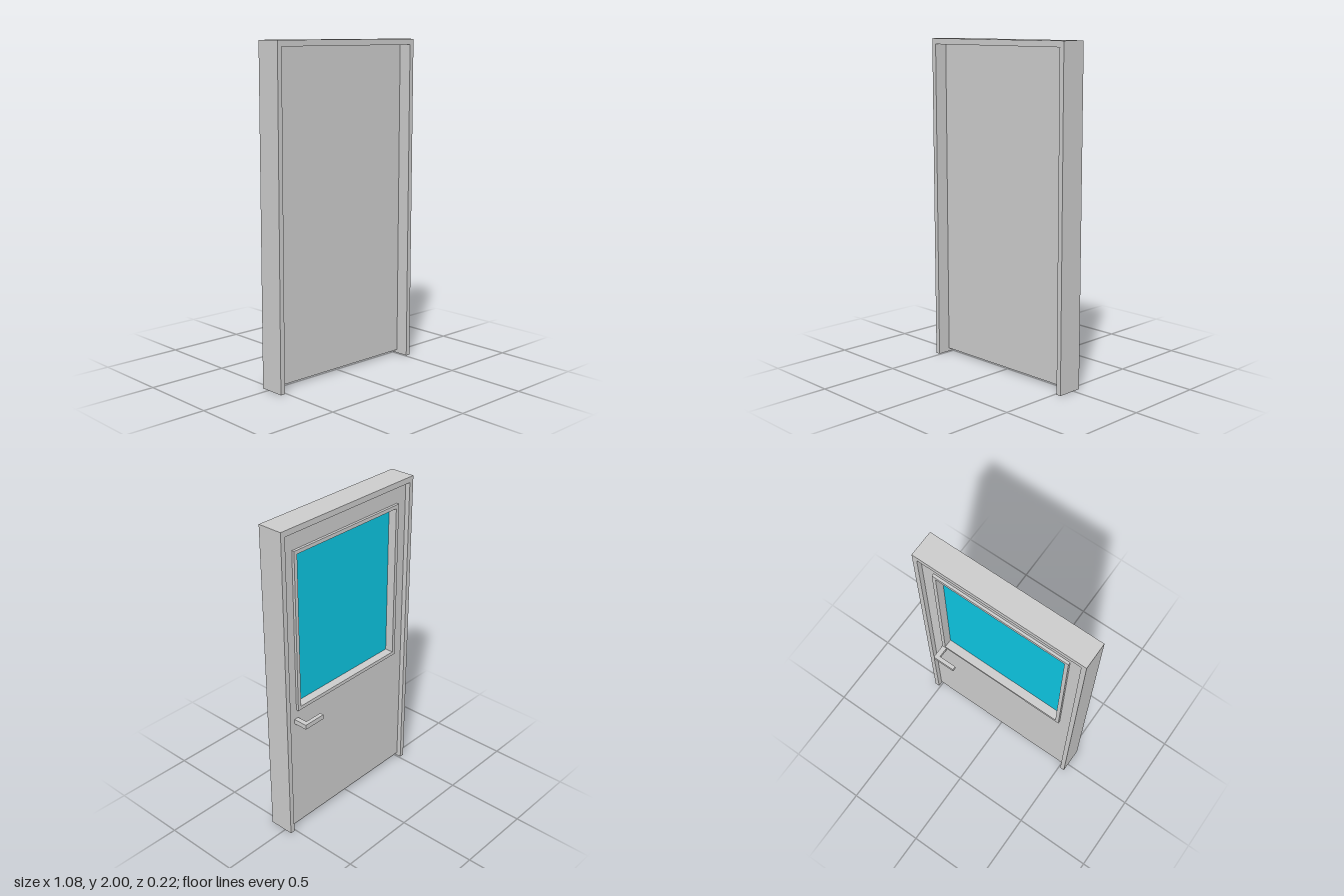
import * as THREE from 'three';

const grey = new THREE.MeshStandardMaterial({ color: 0xcccccc });
const glass = new THREE.MeshStandardMaterial({ color: 0x0cc4e0 });

// Corner points of an upright rectangle
const rect = (x0, x1, y0, y1) =>
  [[x0, y0], [x1, y0], [x1, y1], [x0, y1]].map(([x, y]) => new THREE.Vector2(x, y));

// Flat outline, optionally with a rectangular hole, extruded from z0 to z1
function slab(name, points, z0, z1, hole) {
  const shape = new THREE.Shape(points);
  if (hole) shape.holes.push(new THREE.Path(hole));
  const geometry = new THREE.ExtrudeGeometry(shape, { depth: z1 - z0, bevelEnabled: false });
  geometry.translate(0, 0, z0);
  const mesh = new THREE.Mesh(geometry, grey);
  mesh.name = name;
  return mesh;
}

// Box given by its limits on each axis
function box(name, [x0, x1], [y0, y1], [z0, z1], material = grey) {
  const mesh = new THREE.Mesh(new THREE.BoxGeometry(x1 - x0, y1 - y0, z1 - z0), material);
  mesh.position.set((x0 + x1) / 2, (y0 + y1) / 2, (z0 + z1) / 2);
  mesh.name = name;
  return mesh;
}

export function createModel() {
  const model = new THREE.Group();
  model.name = 'door';

  // Jambs and header as one inverted U, open at the floor
  const W = 0.54, w = 0.51, top = 1.965;
  const outline = [[-W, 0], [-w, 0], [-w, top], [w, top], [w, 0], [W, 0], [W, 2], [-W, 2]]
    .map(([x, y]) => new THREE.Vector2(x, y));
  model.add(slab('doorFrame', outline, -0.05, 0.11));

  // Door leaf: window recess open to the back, closed by a front panel
  const opening = rect(-0.41, 0.41, 0.865, 1.83);
  const leaf = rect(-w, w, 0.02, top);
  model.add(slab('doorLeaf', leaf, -0.02, 0.022, opening));
  model.add(slab('frontPanel', leaf, 0.022, 0.028));

  // Window pane and its raised surround
  model.add(box('windowPane', [-0.41, 0.41], [0.865, 1.83], [0.018, 0.022], glass));
  model.add(slab('windowTrim', rect(-0.433, 0.433, 0.842, 1.853), -0.036, -0.02, opening));

  // Lever handle: shank out of the leaf, grip turned towards the middle
  const handle = new THREE.Group();
  handle.name = 'handle';
  handle.add(box('handleShank', [0.42, 0.45], [0.755, 0.785], [-0.085, -0.02]));
  handle.add(box('handleGrip', [0.303, 0.45], [0.755, 0.785], [-0.11, -0.085]));
  model.add(handle);

  return model;
}
